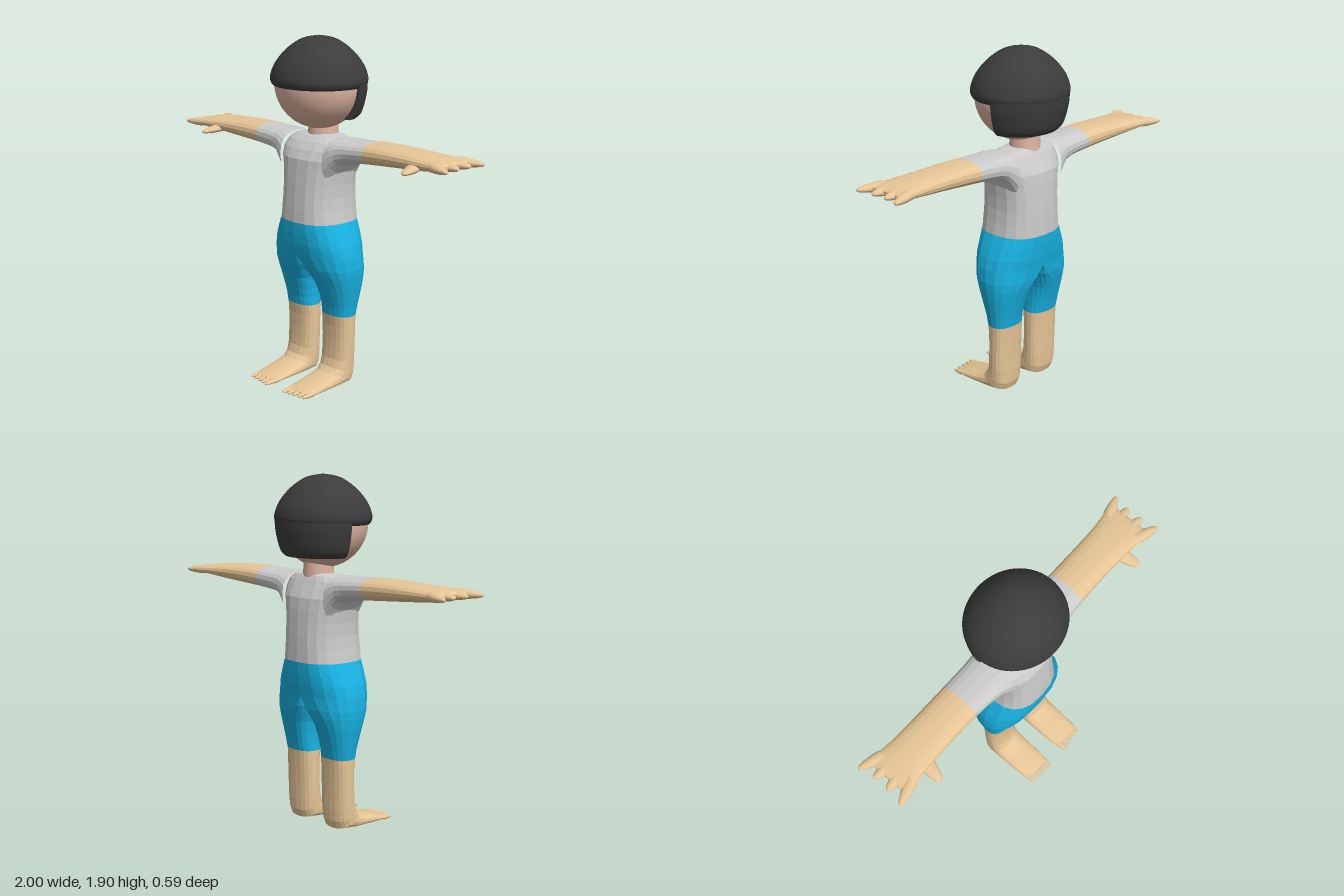
import * as THREE from 'three';

const V = (x, y, z) => new THREE.Vector3(x, y, z);
const paint = (color, opts = {}) => new THREE.MeshStandardMaterial({ color, ...opts });

const skin = paint(0xe6c596, { flatShading: true });
const shirtGrey = paint(0xcccccc, { flatShading: true });
const shortsBlue = paint(0x18b2e2, { flatShading: true });
const faceSkin = paint(0xdfb4a1);
const hairDark = paint(0x3c3c3c, { side: THREE.DoubleSide });

const SIDES = 20;

// Skins a row of rings. Ring: centre c, half axes u and v, optional shorter
// half axis "inner" used on the -u side. Rounded-square cross-sections.
function loft(rings, { capStart = false, capEnd = false, power = 0.8 } = {}) {
  const pos = [], idx = [];
  const bend = t => Math.sign(t) * Math.abs(t) ** power;
  for (const { c, u, v, inner } of rings) {
    for (let i = 0; i < SIDES; i++) {
      const a = (i / SIDES) * Math.PI * 2;
      const cu = Math.abs(Math.cos(a)) < 1e-6 ? 0 : bend(Math.cos(a));
      const p = c.clone().addScaledVector(cu < 0 && inner ? inner : u, cu).addScaledVector(v, bend(Math.sin(a)));
      pos.push(p.x, p.y, p.z);
    }
  }
  const [r0, r1] = rings;
  const flip = r0.u.clone().cross(r0.v).dot(r1.c.clone().sub(r0.c)) < 0;
  const tri = (a, b, c) => (flip ? idx.push(a, c, b) : idx.push(a, b, c));
  for (let k = 0; k < rings.length - 1; k++) {
    for (let i = 0; i < SIDES; i++) {
      const j = (i + 1) % SIDES, a = k * SIDES, b = a + SIDES;
      tri(a + i, a + j, b + j);
      tri(a + i, b + j, b + i);
    }
  }
  const cap = (k, end) => {
    const n = pos.length / 3, c = rings[k].c;
    pos.push(c.x, c.y, c.z);
    for (let i = 0; i < SIDES; i++) {
      const a = k * SIDES + i, b = k * SIDES + ((i + 1) % SIDES);
      end ? tri(n, a, b) : tri(n, b, a);
    }
  };
  if (capStart) cap(0, false);
  if (capEnd) cap(rings.length - 1, true);
  const g = new THREE.BufferGeometry();
  g.setAttribute('position', new THREE.Float32BufferAttribute(pos, 3));
  g.setIndex(idx);
  g.computeVertexNormals();
  return g;
}

// Ring shapes for trunk, arm and leg
const trunkRing = ([y, w, zf, zb]) => ({ c: V(0, y, (zf + zb) / 2), u: V(w, 0, 0), v: V(0, 0, (zf - zb) / 2) });
const armRing = s => ([x, y0, y1, z0, z1]) => ({
  c: V(s * x, (y0 + y1) / 2, (z0 + z1) / 2), u: V(0, 0, (z1 - z0) / 2), v: V(0, (y1 - y0) / 2, 0),
});
const thighRing = s => ([y, xc, xo, xi, zf, zb]) => ({
  c: V(s * xc, y, (zf + zb) / 2), u: V(s * (xo - xc), 0, 0), inner: V(s * (xc - xi), 0, 0), v: V(0, 0, (zf - zb) / 2),
});
const legRing = s => ([z0, y0, z1, y1, w]) => ({
  c: V(s * 0.138, (y0 + y1) / 2, (z0 + z1) / 2), u: V(s * w, 0, 0), v: V(0, (y1 - y0) / 2, (z1 - z0) / 2),
});

// Tapered finger or toe with a rounded tip
function digit(base, tip, u, v) {
  const steps = [[0, 1], [0.35, 0.92], [0.65, 0.72], [0.88, 0.48], [0.97, 0.28], [1, 0.08]];
  return loft(steps.map(([t, k]) => ({
    c: base.clone().lerp(tip, t), u: u.clone().multiplyScalar(k), v: v.clone().multiplyScalar(k),
  })), { capEnd: true, power: 1 });
}

export function createModel() {
  const model = new THREE.Group();
  model.name = 'figure';
  const add = (name, geometry, material, parent = model) => {
    const m = new THREE.Mesh(geometry, material);
    m.name = name;
    parent.add(m);
    return m;
  };

  // Trunk: shirt and the upper part of the shorts (y, half width, front z, back z)
  add('shirt', loft([
    [0.92, 0.2, 0.14, -0.235], [0.99, 0.19, 0.137, -0.234], [1.06, 0.185, 0.132, -0.232],
    [1.13, 0.187, 0.126, -0.228], [1.2, 0.195, 0.119, -0.223], [1.26, 0.21, 0.112, -0.215],
    [1.31, 0.215, 0.085, -0.19], [1.35, 0.2, 0.05, -0.17], [1.375, 0.16, 0.015, -0.155], [1.385, 0.09, -0.01, -0.14],
  ].map(trunkRing), { capEnd: true }), shirtGrey);
  add('shortsHips', loft([
    [0.74, 0.27, 0.121, -0.216], [0.8, 0.254, 0.133, -0.226], [0.86, 0.228, 0.138, -0.232], [0.92, 0.2, 0.14, -0.235],
  ].map(trunkRing)), shortsBlue);

  for (const [side, s] of [['left', 1], ['right', -1]]) {
    // Sleeve, flaring into the armpit (x, low y, high y, back z, front z)
    add(side + 'Sleeve', loft([
      [0.16, 1.14, 1.38, -0.195, 0.09], [0.195, 1.2, 1.381, -0.188, 0.082], [0.225, 1.238, 1.381, -0.182, 0.072],
      [0.27, 1.257, 1.381, -0.178, 0.063], [0.34, 1.266, 1.383, -0.176, 0.056], [0.41, 1.272, 1.386, -0.175, 0.052],
    ].map(armRing(s))), shirtGrey);

    // Bare arm and palm
    const arm = new THREE.Group();
    arm.name = side + 'Arm';
    model.add(arm);
    add('forearm', loft([
      [0.41, 1.272, 1.386, -0.175, 0.052], [0.5, 1.278, 1.388, -0.174, 0.05], [0.6, 1.285, 1.386, -0.174, 0.05],
      [0.7, 1.292, 1.382, -0.175, 0.052], [0.8, 1.301, 1.376, -0.179, 0.056], [0.86, 1.308, 1.371, -0.186, 0.063],
      [0.9, 1.315, 1.366, -0.195, 0.072], [0.925, 1.322, 1.36, -0.195, 0.072],
      [0.94, 1.332, 1.35, -0.185, 0.06],
    ].map(armRing(s)), { capEnd: true }), skin, arm);

    // Four fingers and a thumb (base z, tip z, tip x)
    for (const [zb, zt, x] of [[-0.155, -0.2, 1], [-0.095, -0.113, 0.985], [-0.03, -0.022, 0.987], [0.035, 0.076, 1]]) {
      add('finger', digit(V(s * 0.87, 1.342, zb), V(s * x, 1.338, zt), V(0, 0, 0.036), V(0, 0.026, 0)), skin, arm);
    }
    add('thumb', digit(V(s * 0.755, 1.322, 0.02), V(s * 0.775, 1.305, 0.14), V(s * 0.042, 0, 0), V(0, 0.022, 0)), skin, arm);

    // Shorts leg (y, centre x, outer x, inner x, front z, back z)
    add(side + 'ShortsLeg', loft([
      [0.74, 0, 0.27, 0, 0.121, -0.216], [0.67, 0.05, 0.277, 0, 0.1, -0.206], [0.63, 0.085, 0.275, 0.01, 0.08, -0.195],
      [0.57, 0.115, 0.268, 0.03, 0.051, -0.176], [0.5, 0.13, 0.256, 0.038, 0.026, -0.156],
      [0.45, 0.135, 0.247, 0.039, 0.012, -0.144], [0.4, 0.138, 0.24, 0.038, 0.005, -0.135],
    ].map(thighRing(s))), shortsBlue);

    // Bare leg bending into the foot (back/sole z y, front/instep z y, half width)
    const leg = new THREE.Group();
    leg.name = side + 'Leg';
    model.add(leg);
    add('shinAndFoot', loft([
      [-0.135, 0.4, 0.005, 0.4, 0.1], [-0.131, 0.34, -0.002, 0.34, 0.1], [-0.128, 0.27, -0.004, 0.27, 0.1],
      [-0.126, 0.2, -0.002, 0.205, 0.1], [-0.125, 0.12, 0.003, 0.15, 0.099], [-0.122, 0.055, 0.018, 0.107, 0.098],
      [-0.108, 0.014, 0.045, 0.083, 0.097], [-0.03, 0.006, 0.09, 0.067, 0.095], [0.08, 0.003, 0.155, 0.05, 0.093],
      [0.17, 0.003, 0.21, 0.035, 0.09], [0.232, 0.005, 0.242, 0.024, 0.085],
    ].map(legRing(s)), { capEnd: true }), skin, leg);

    // Five toes, the longest on the inner side
    for (let i = 0; i < 5; i++) {
      const x = s * (0.073 + 0.034 * i);
      add('toe', digit(V(x, 0.016, 0.205), V(x, 0.012, 0.293 - 0.005 * i), V(s * (i ? 0.016 : 0.02), 0, 0), V(0, 0.014, 0)), skin, leg);
    }
  }

  // Neck and head
  add('neck', new THREE.CylinderGeometry(0.078, 0.084, 0.1, 24, 1, true), faceSkin).position.set(0, 1.41, -0.078);
  const head = add('head', new THREE.SphereGeometry(1, 48, 32), faceSkin);
  head.scale.set(0.25, 0.24, 0.228);
  head.position.set(0, 1.65, -0.045);

  // Hair: bowl-shaped cap with a rounded lip, and a lower panel round the back
  const hair = new THREE.Group();
  hair.name = 'hair';
  hair.position.z = -0.045;
  hair.scale.z = 0.93;
  model.add(hair);
  const P = list => list.map(([x, y]) => new THREE.Vector2(x, y));
  const capLine = new THREE.SplineCurve(P([
    [0.235, 1.636], [0.256, 1.642], [0.269, 1.665], [0.267, 1.695], [0.248, 1.745], [0.208, 1.8], [0.152, 1.85], [0.085, 1.887], [0, 1.902],
  ])).getPoints(40);
  capLine[40].x = 0;
  add('hairCap', new THREE.LatheGeometry(capLine, 56), hairDark, hair);

  const backLine = P([[0.15, 1.47], [0.2, 1.47]]).concat(new THREE.SplineCurve(P([
    [0.208, 1.472], [0.235, 1.5], [0.254, 1.56], [0.265, 1.62], [0.267, 1.68],
  ])).getPoints(16));
  const start = Math.PI / 2 + 0.165, sweep = Math.PI - 0.33;
  add('hairBack', new THREE.LatheGeometry(backLine, 32, start, sweep), hairDark, hair);
  const edge = new THREE.Shape([...backLine, ...P([[0.22, 1.68], [0.2, 1.58]])]);
  for (const phi of [start, start + sweep]) {
    add('hairEdge', new THREE.ShapeGeometry(edge).rotateY(phi - Math.PI / 2), hairDark, hair);
  }
  return model;
}
